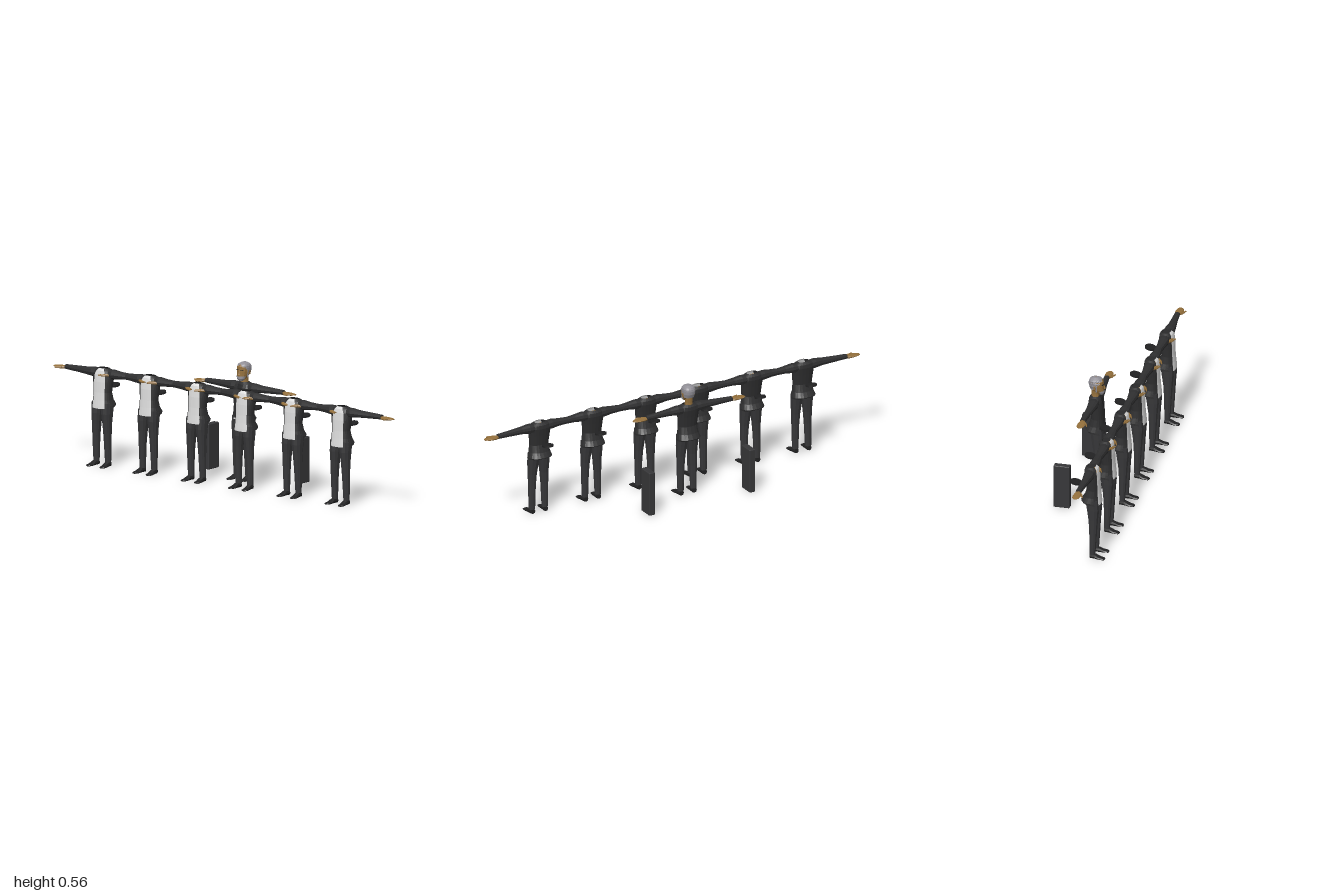
import * as THREE from 'three';
import { RoundedBoxGeometry } from 'three/addons/geometries/RoundedBoxGeometry.js';

const mat = (name, color) => new THREE.MeshStandardMaterial({ name, color, flatShading: true, side: THREE.DoubleSide });
const M = {
  jacket: mat('jacket charcoal', 0x2f2f30),
  trousers: mat('trouser grey', 0x373739),
  black: mat('black', 0x222223),
  shirt: mat('shirt white', 0xdcdcdc),
  skin: mat('skin', 0x94703c),
  hair: mat('grey hair', 0x918f96),
};

// Skin over rings [y, halfWidth, zFront, zBack, gapAngle, backRaise, centreX].
// part: 'full' = closed and capped, 'out' = everything but the front gap, 'in' = only the gap.
function loft(rings, { n = 12, part = 'full', grow = 0, square = 0.85 } = {}) {
  const pos = [], idx = [];
  const pw = v => Math.sign(v) * Math.abs(v) ** square;
  for (const [y, rx, zf, zb, gap = 0, raise = 0, cx = 0] of rings) {
    const from = part === 'in' ? -gap : part === 'out' ? gap : 0;
    const to = part === 'in' ? gap : Math.PI * 2 - from;
    for (let j = 0; j <= n; j++) {
      const a = from + (to - from) * j / n;
      pos.push(cx + (rx + grow) * pw(Math.sin(a)),
        y + raise * (1 - Math.cos(a)) / 2,
        (zf + zb) / 2 + ((zf - zb) / 2 + grow) * pw(Math.cos(a)));
    }
  }
  const w = n + 1;
  for (let i = 0; i < rings.length - 1; i++)
    for (let j = 0; j < n; j++) {
      const a = i * w + j, b = a + 1, c = b + w, d = a + w;
      idx.push(a, b, c, a, c, d);
    }
  if (part === 'full') {
    const top = (rings.length - 1) * w;
    for (let j = 1; j < n - 1; j++) idx.push(0, j + 1, j, top, top + j, top + j + 1);
  }
  const g = new THREE.BufferGeometry();
  g.setAttribute('position', new THREE.Float32BufferAttribute(pos, 3));
  g.setIndex(idx);
  g.computeVertexNormals();
  return g;
}

function add(parent, name, geometry, material, x = 0, y = 0, z = 0) {
  const m = new THREE.Mesh(geometry, material);
  m.name = name;
  m.position.set(x, y, z);
  parent.add(m);
  return m;
}

// Jacket cross-sections from hem to collar
const TORSO = [
  [0.275, 0.058, 0.042, -0.044, 0.58, 0.012],
  [0.287, 0.058, 0.041, -0.051, 0.58, 0.006],
  [0.315, 0.051, 0.038, -0.036, 0.62],
  [0.35, 0.047, 0.035, -0.025, 0.64],
  [0.40, 0.052, 0.033, -0.031, 0.58],
  [0.435, 0.056, 0.029, -0.036, 0.48],
  [0.452, 0.047, 0.024, -0.034, 0.42],
  [0.462, 0.027, 0.014, -0.022, 0.5],
];
const LEG = [
  [0.022, 0.015, 0.022, -0.005, 0, 0, 0.034],
  [0.06, 0.016, 0.025, -0.006, 0, 0, 0.034],
  [0.14, 0.018, 0.030, -0.008, 0, 0, 0.033],
  [0.20, 0.021, 0.034, -0.012, 0, 0, 0.031],
  [0.25, 0.025, 0.039, -0.020, 0, 0, 0.029],
  [0.30, 0.028, 0.037, -0.028, 0, 0, 0.027],
];
const SHOE = [
  [-0.003, 0.012, 0, -0.024],
  [0.022, 0.014, 0, -0.024],
  [0.045, 0.016, 0, -0.012],
  [0.064, 0.014, 0, -0.009],
  [0.069, 0.008, -0.001, -0.006],
];
const SLEEVE = [
  [0.03, 0.020, 0.020, -0.030],
  [0.06, 0.022, 0.022, -0.029],
  [0.10, 0.017, 0.017, -0.024],
  [0.16, 0.014, 0.009, -0.023],
  [0.228, 0.011, 0.003, -0.023],
];
const HAND = [
  [0.222, 0.007, -0.002, -0.020],
  [0.242, 0.008, 0.008, -0.026],
  [0.268, 0.006, 0.011, -0.028],
  [0.287, 0.004, 0.006, -0.025],
  [0.297, 0.002, -0.002, -0.018],
];
const HEAD = [
  [0.471, 0.012, 0.030, 0.010],
  [0.480, 0.020, 0.035, -0.004],
  [0.495, 0.026, 0.034, -0.026],
  [0.515, 0.029, 0.033, -0.036],
  [0.535, 0.029, 0.031, -0.037],
  [0.547, 0.023, 0.022, -0.030],
  [0.554, 0.011, 0.008, -0.017],
];
const HAIR = [
  [0.497, 0.026, 0.032, -0.029, 2.0],
  [0.515, 0.029, 0.033, -0.036, 1.45],
  [0.530, 0.029, 0.031, -0.037, 0.95],
  [0.539, 0.028, 0.028, -0.035, 0.3],
  [0.547, 0.023, 0.022, -0.030, 0],
  [0.554, 0.011, 0.008, -0.017, 0],
  [0.5555, 0.001, -0.004, -0.006, 0],
];
const BEARD = [
  [0.470, 0.012, 0.030, 0.010, 1.5],
  [0.480, 0.020, 0.035, -0.004, 1.45],
  [0.491, 0.025, 0.034, -0.021, 1.3],
];

function makeFigure(open, handShift = { '-1': 0, 1: 0 }) {
  const fig = new THREE.Group();
  // Jacket, open over a shirt or buttoned
  const torso = open ? TORSO : TORSO.map(([y, rx, f, b, , r]) => [y, rx, f, b, Math.max(0, (y - 0.39) * 4.5), r]);
  add(fig, 'jacket', loft(torso, { part: 'out', n: 18 }), M.jacket);
  add(fig, 'shirtFront', loft(open ? torso : torso.slice(4), { part: 'in', n: 6, grow: open ? 0.0015 : -0.0005 }),
    open ? M.shirt : M.black);
  if (!open) add(fig, 'shirtHem', new THREE.BoxGeometry(0.052, 0.007, 0.006), M.shirt, 0, 0.291, 0.0395);

  for (const s of [-1, 1]) {
    const side = new THREE.Group();
    side.name = s > 0 ? 'leftLimbs' : 'rightLimbs';
    side.scale.x = s;
    fig.add(side);
    add(side, 'trouserLeg', loft(LEG, { n: 10 }), M.trousers);
    add(side, 'shoe', loft(SHOE, { n: 8 }).rotateX(Math.PI / 2), M.black, 0.034).rotation.y = 0.1;
    // Outstretched arm along x
    add(side, 'sleeve', loft(SLEEVE, { n: 10 }).rotateZ(-Math.PI / 2), M.jacket, 0, 0.437);
    const hand = new THREE.Group();
    hand.name = 'hand';
    hand.position.set(0, 0.434, handShift[s]);
    side.add(hand);
    add(hand, 'palm', loft(HAND, { n: 8 }).rotateZ(-Math.PI / 2), M.skin);
    add(hand, 'thumb', new THREE.CylinderGeometry(0.003, 0.005, 0.034, 6).rotateZ(-Math.PI / 2), M.skin, 0.256, -0.001, 0.013)
      .rotation.y = -0.4;
  }
  return fig;
}

function makeHead() {
  const head = new THREE.Group();
  head.name = 'head';
  add(head, 'neck', loft([[0.45, 0.019, 0.012, -0.026], [0.47, 0.017, 0.011, -0.025], [0.50, 0.018, 0.012, -0.026]], { n: 10 }), M.skin);
  add(head, 'face', loft(HEAD, { n: 14 }), M.skin);
  add(head, 'hair', loft(HAIR, { part: 'out', n: 14, grow: 0.0015 }), M.hair);
  add(head, 'beard', loft(BEARD, { part: 'in', n: 10, grow: 0.0015 }), M.hair);
  add(head, 'nose', new THREE.ConeGeometry(0.006, 0.02, 4), M.skin, 0, 0.509, 0.035).rotation.x = -0.15;
  for (const s of [-1, 1]) {
    add(head, 'ear', new THREE.BoxGeometry(0.004, 0.017, 0.009), M.skin, s * 0.030, 0.509, -0.005);
    add(head, 'sideburn', new THREE.BoxGeometry(0.003, 0.034, 0.007), M.hair, s * 0.0275, 0.503, 0.004).rotation.z = -s * 0.12;
    add(head, 'eyebrow', new THREE.BoxGeometry(0.014, 0.003, 0.004), M.black, s * 0.012, 0.521, 0.0305).rotation.y = s * 0.25;
  }
  return head;
}

export function createModel() {
  const model = new THREE.Group();
  model.name = 'suitedGroup';

  // Front row, linked arm in arm, each with a disc behind
  const xs = [-0.703, -0.43, -0.145, 0.135, 0.42, 0.703];
  xs.forEach((x, i) => {
    const fig = makeFigure(true, { '-1': i === 0 ? 0 : 0.022, 1: i === 5 ? 0 : 0.022 });
    fig.name = 'rowFigure';
    fig.position.set(x, 0, 0.113);
    model.add(fig);
    add(model, 'disc', new THREE.CylinderGeometry(0.027, 0.027, 0.008, 20), M.black, x, 0.368, 0.033).rotation.x = 0.17;
  });

  // Bearded figure behind the row
  const leader = makeFigure(false);
  leader.name = 'leaderFigure';
  leader.position.z = -0.045;
  leader.add(makeHead());
  model.add(leader);

  // Standing cabinets
  for (const s of [-1, 1])
    add(model, 'cabinet', new RoundedBoxGeometry(0.031, 0.215, 0.077, 2, 0.004), M.trousers, s * 0.268, 0.1085, -0.143);
  return model;
}
